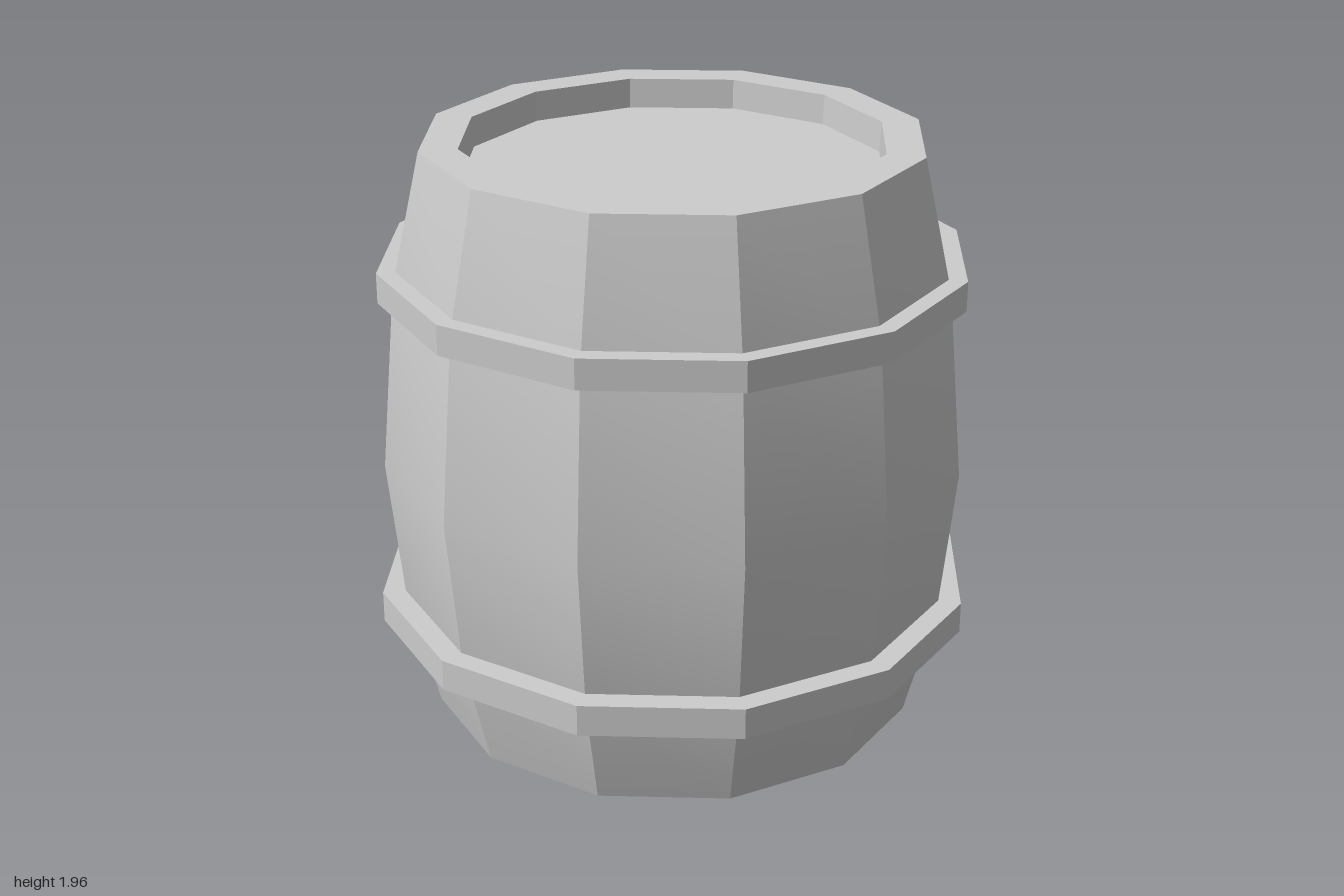
import * as THREE from 'three';
import { mergeGeometries } from 'three/addons/utils/BufferGeometryUtils.js';

const SIDES = 12;
const STEP = (Math.PI * 2) / SIDES;

// Turns a profile into 12 separate panels: sharp between panels, smooth along each one
function panels(profile) {
  const points = profile.map(([r, y]) => new THREE.Vector2(r, y));
  const parts = [];
  for (let i = 0; i < SIDES; i++) {
    const panel = new THREE.LatheGeometry(points, 1, i * STEP, STEP);
    panel.computeVertexNormals();
    parts.push(panel);
  }
  return mergeGeometries(parts);
}

// Same, but every profile segment is a sharp-edged face of its own
function sharpPanels(profile) {
  return mergeGeometries(profile.slice(1).map((p, i) => panels([profile[i], p])));
}

export function createModel() {
  const barrel = new THREE.Group();
  barrel.name = 'barrel';
  const grey = new THREE.MeshStandardMaterial({ color: 0xcccccc });
  grey.name = 'plain grey';

  const add = (name, geometry) => {
    const mesh = new THREE.Mesh(geometry, grey);
    mesh.name = name;
    barrel.add(mesh);
  };

  // Bulging staves
  add('staves', panels([[0.82, 0], [0.918, 0.38], [0.97, 0.9], [0.915, 1.52], [0.815, 1.96]]));

  // Rims with recessed ends
  add('topRim', sharpPanels([[0.815, 1.96], [0.69, 1.96], [0.685, 1.86]]));
  add('lid', panels([[0.685, 1.86], [0, 1.86]]));
  add('bottomRim', sharpPanels([[0.685, 0.1], [0.69, 0], [0.82, 0]]));
  add('base', panels([[0, 0.1], [0.685, 0.1]]));

  // Hoops
  const hoop = (r, y0, y1) => sharpPanels([[0.88, y0], [r, y0], [r, y1], [0.88, y1]]);
  add('lowerHoop', hoop(1, 0.33, 0.435));
  add('upperHoop', hoop(0.965, 1.47, 1.57));

  return barrel;
}
